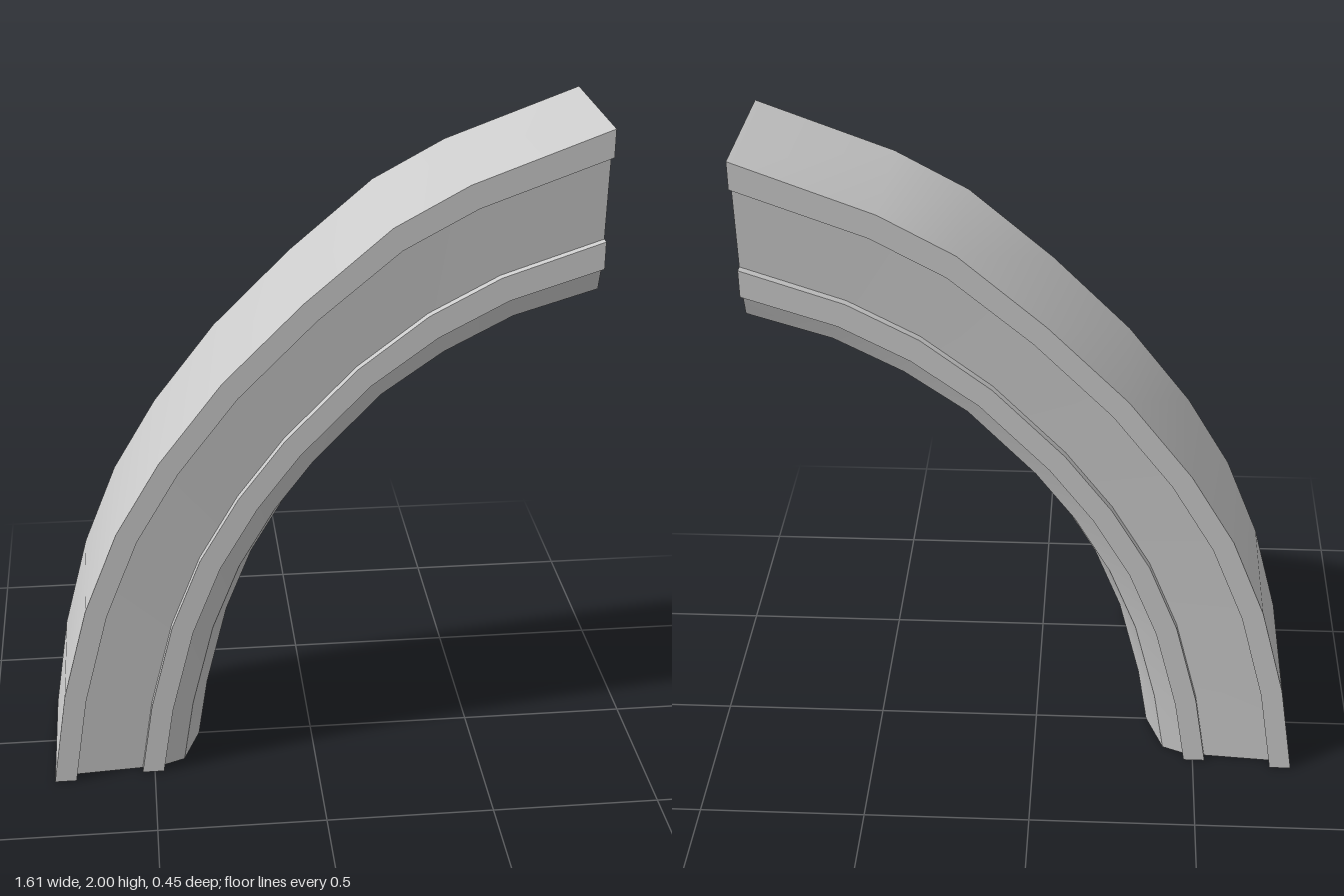
import * as THREE from 'three';
import { toCreasedNormals } from 'three/addons/utils/BufferGeometryUtils.js';

// Outer and inner edge of the arch, station by station [x, y]
const OUTER = [[-0.805, 0], [-0.76, 0.3], [-0.685, 0.59], [-0.585, 0.84], [-0.455, 1.06],
  [-0.27, 1.3], [-0.04, 1.53], [0.205, 1.74], [0.415, 1.855], [0.805, 2]];
const INNER = [[-0.355, 0], [-0.325, 0.19], [-0.26, 0.45], [-0.18, 0.65], [-0.075, 0.83],
  [0.03, 0.97], [0.22, 1.17], [0.39, 1.285], [0.585, 1.385], [0.805, 1.448]];

// Half of the moulding section: [fraction from outer to inner edge, half depth]
const HALF = [[0, 0.225], [0.145, 0.225], [0.145, 0.19], [0.595, 0.175], [0.595, 0.2],
  [0.74, 0.2], [0.74, 0.168], [0.885, 0.14]];

function sweepSection() {
  const section = [
    ...HALF.map(([t, z]) => new THREE.Vector2(t, -z)),
    new THREE.Vector2(1, 0),
    ...HALF.map(([t, z]) => new THREE.Vector2(t, z)).reverse(),
  ];
  const n = section.length;
  const last = OUTER.length - 1;
  const positions = [];
  const index = [];

  OUTER.forEach(([ox, oy], i) => {
    const [ix, iy] = INNER[i];
    for (const p of section) {
      positions.push(ox + (ix - ox) * p.x, oy + (iy - oy) * p.x, p.y);
    }
  });

  // Skin between neighbouring stations
  for (let i = 0; i < last; i++) {
    for (let j = 0; j < n; j++) {
      const k = (j + 1) % n;
      const a = i * n + j, b = i * n + k, c = b + n, d = a + n;
      index.push(a, d, c, a, c, b);
    }
  }

  // Flat ends
  for (const [a, b, c] of THREE.ShapeUtils.triangulateShape(section, [])) {
    index.push(a, b, c);
    index.push(last * n + a, last * n + c, last * n + b);
  }

  const geometry = new THREE.BufferGeometry();
  geometry.setAttribute('position', new THREE.Float32BufferAttribute(positions, 3));
  geometry.setIndex(index);
  return toCreasedNormals(geometry, Math.PI / 7);
}

export function createModel() {
  const group = new THREE.Group();
  group.name = 'archSegment';
  const rib = new THREE.Mesh(sweepSection(), new THREE.MeshStandardMaterial({ color: 0xcccccc }));
  rib.name = 'mouldedArchRib';
  group.add(rib);
  return group;
}
